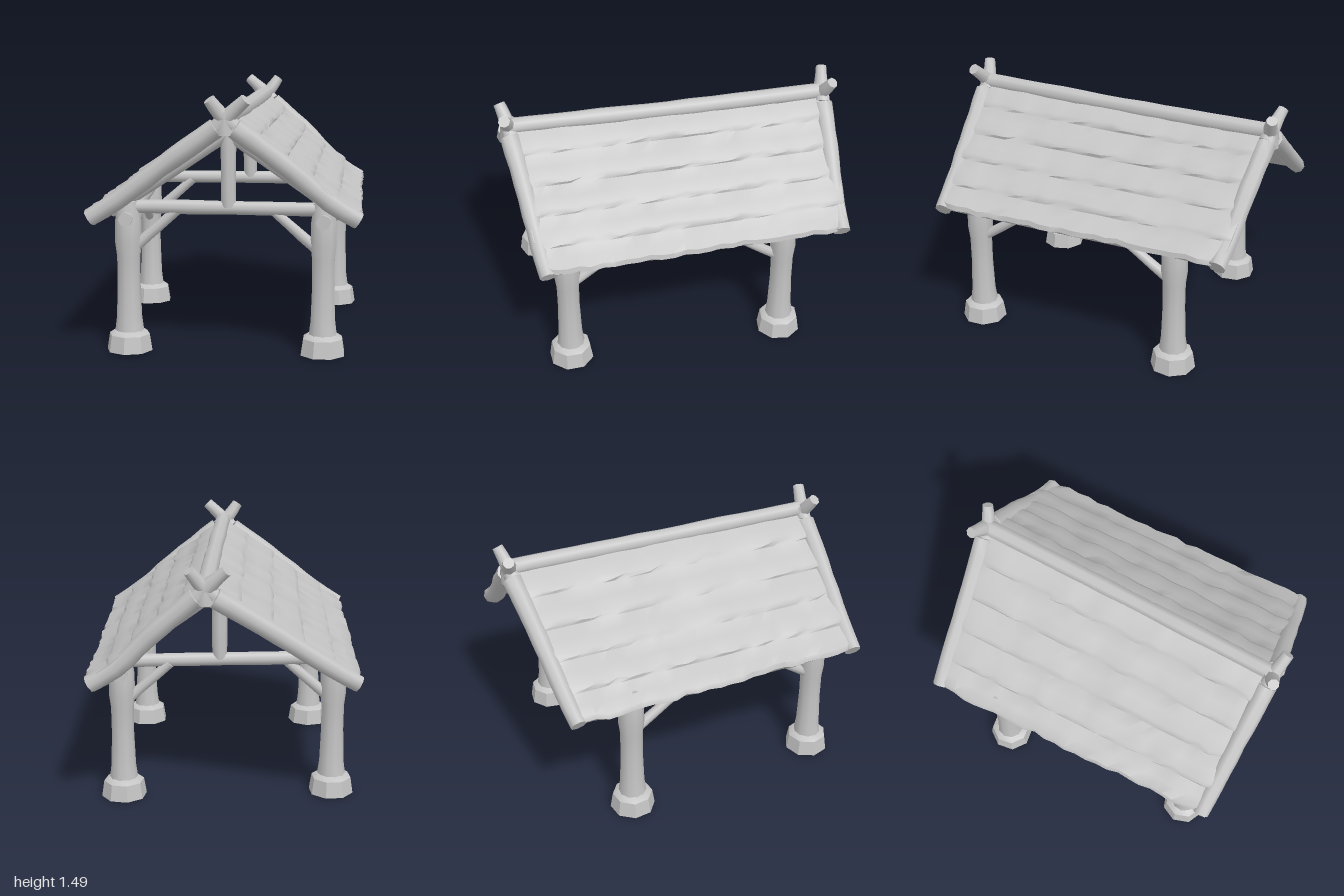
import * as THREE from 'three';
import { toCreasedNormals } from 'three/addons/utils/BufferGeometryUtils.js';

const V = (x, y, z) => new THREE.Vector3(x, y, z);
const lerp = THREE.MathUtils.lerp;

export function createModel() {
  const model = new THREE.Group();
  model.name = 'openShelter';
  const wood = new THREE.MeshStandardMaterial({ color: 0xc4c4c4 });
  wood.name = 'pale grey';

  let seed = 7;
  const rand = () => {
    seed = (seed * 16807) % 2147483647;
    return (seed / 2147483647) * 2 - 1;
  };

  // Closed skin over a row of rings, with a fan cap at each end
  function loft(name, rings, crease, parent = model) {
    const n = rings[0].length, pts = rings.flat(), idx = [];
    for (let i = 0; i < rings.length - 1; i++) {
      for (let j = 0; j < n; j++) {
        const k = (j + 1) % n, a = i * n, b = a + n;
        idx.push(a + j, a + k, b + j, a + k, b + k, b + j);
      }
    }
    [0, rings.length - 1].forEach((r, end) => {
      const c = V(0, 0, 0);
      rings[r].forEach((p) => c.addScaledVector(p, 1 / n));
      const ci = pts.push(c) - 1;
      for (let j = 0; j < n; j++) {
        const a = r * n + j, b = r * n + ((j + 1) % n);
        if (end) idx.push(ci, a, b);
        else idx.push(ci, b, a);
      }
    });
    const geo = new THREE.BufferGeometry().setFromPoints(pts);
    geo.setIndex(idx);
    const mesh = new THREE.Mesh(toCreasedNormals(geo, crease), wood);
    mesh.name = name;
    parent.add(mesh);
    return mesh;
  }

  // Rough round timber along a few points, tapering from r0 to r1
  function log(name, path, r0, r1 = r0, steps = 6, parent = model) {
    const curve = new THREE.CatmullRomCurve3(path);
    const f = curve.computeFrenetFrames(steps, false);
    const rings = [];
    for (let i = 0; i <= steps; i++) {
      const c = curve.getPointAt(i / steps);
      const r = lerp(r0, r1, i / steps) * (1 + 0.05 * rand());
      rings.push(Array.from({ length: 8 }, (_, j) => {
        const a = (j / 8) * Math.PI * 2;
        return c.clone().addScaledVector(f.normals[i], Math.cos(a) * r)
          .addScaledVector(f.binormals[i], Math.sin(a) * r);
      }));
    }
    return loft(name, rings, 0.9, parent);
  }

  // Posts standing on flared stone feet
  const feet = {
    frontLeft: [0.55, 0.725], frontRight: [-0.555, 0.73],
    backLeft: [0.595, -0.57], backRight: [-0.63, -0.5],
  };
  const footProfile = [[0, 0], [0.133, 0.005], [0.118, 0.1], [0.085, 0.122], [0, 0.13]];
  const postProfile = [[0.085, 0.1], [0.072, 0.2], [0.065, 0.4], [0.066, 0.55],
    [0.076, 0.63], [0.074, 0.76], [0.06, 0.87], [0, 0.88]];
  const lathe = (name, profile, sides, x, z, turn) => {
    const geo = new THREE.LatheGeometry(profile.map((p) => new THREE.Vector2(...p)), sides);
    const mesh = new THREE.Mesh(toCreasedNormals(geo, 0.75), wood);
    mesh.name = name;
    mesh.position.set(x, 0, z);
    mesh.rotation.y = turn;
    model.add(mesh);
  };
  Object.entries(feet).forEach(([key, [x, z]], i) => {
    lathe(key + 'Foot', footProfile, 8, x, z, 0.4 + i * 0.3);
    lathe(key + 'Post', postProfile, 10, x, z, i * 0.5);
    // Diagonal braces toward the tie beam and the side plate
    const sx = Math.sign(x), sz = Math.sign(z);
    log(key + 'CrossBrace', [V(x - sx * 0.03, 0.6, z), V(x - sx * 0.28, 0.82, z)], 0.032, 0.028, 3);
    log(key + 'SideBrace', [V(x, 0.57, z - sz * 0.03), V(x, 0.765, z - sz * 0.32)], 0.03, 0.027, 3);
  });

  // Side plates running front to back
  for (const side of ['Left', 'Right']) {
    const [fx, fz] = feet['front' + side], [bx, bz] = feet['back' + side];
    log('sidePlate' + side, [V(bx, 0.775, bz - 0.1), V(fx, 0.775, fz + 0.1)], 0.04);
  }

  const ridgeX = (z) => 0.065 - 0.037 * z;

  // Trusses: tie beam, king post and inner rafters
  for (const end of ['front', 'back']) {
    const [lx, lz] = feet[end + 'Left'], [rx, rz] = feet[end + 'Right'];
    const z = (lz + rz) / 2, kx = end === 'front' ? 0.015 : 0.03;
    log(end + 'TieBeam', [V(rx - 0.06, 0.838, rz), V(kx, 0.836, z), V(lx + 0.06, 0.832, lz)], 0.04);
    log(end + 'KingPost', [V(kx, 0.84, z), V(kx, 1.26, z)], 0.042, 0.045, 4);
    for (const s of [-1, 1]) {
      log(end + 'InnerRafter', [V(s * 0.66, 0.81, s > 0 ? lz : rz), V(kx, 1.26, z)], 0.042);
    }
  }
  for (const z of [-0.15, 0.3]) {
    for (const s of [-1, 1]) {
      log('middleRafter', [V(s * 0.68, 0.82, z), V(ridgeX(z), 1.29, z)], 0.035);
    }
  }

  // Roof slopes: lapped uneven courses over a flat underside
  const laps = [0, 0.2, 0.41, 0.61, 0.81, 1];
  const halfDepth = (u, s, t) => (t > 0
    ? lerp(0.965, s > 0 ? 0.89 : 0.92, u)
    : lerp(0.965, s > 0 ? 0.905 : 0.89, u));
  function roofSlope(name, s) {
    const rings = [], rows = 26;
    for (let i = 0; i <= rows; i++) {
      const t = (i / rows) * 2 - 1;
      const atEnd = i === 0 || i === rows;
      const at = (u, lift) => {
        const z = t * halfDepth(u, s, t);
        const ridge = V(ridgeX(z), 1.365, z), eave = V(s * 0.765, 0.815, z);
        const d = eave.clone().sub(ridge).normalize();
        const n = V(-s * d.y, s * d.x, 0);
        return ridge.lerp(eave, u).addScaledVector(n, lift);
      };
      const ring = [at(0, -0.045), at(0.5, -0.045), at(atEnd ? 0.95 : 0.985, -0.045)];
      for (let k = laps.length - 1; k > 0; k--) {
        const edge = laps[k] + 0.012 * rand() - (atEnd && k === 5 ? 0.04 : 0);
        const lift = atEnd ? 0 : 0.016 + 0.008 * rand();
        ring.push(at(edge, k === 5 ? lift - 0.02 : lift - 0.004));
        ring.push(at(edge - 0.025, lift));
        ring.push(at((edge + laps[k - 1]) / 2, lift * 0.55));
        ring.push(at(laps[k - 1] + 0.016, atEnd ? -0.004 : 0.003 * rand()));
      }
      rings.push(s > 0 ? ring : ring.reverse());
    }
    loft(name, rings, 0.8);
  }
  roofSlope('roofLeft', 1);
  roofSlope('roofRight', -1);

  // Ridge pole
  log('ridgePole', [V(ridgeX(-0.95), 1.362, -0.95), V(0.07, 1.357, 0), V(ridgeX(0.95), 1.362, 0.95)],
    0.05, 0.05, 14);

  // Gable poles crossing at the ridge and ending in horns
  for (const [end, e] of [['front', 1], ['back', -1]]) {
    const cx = ridgeX(e * 0.95) - (e > 0 ? 0.01 : 0);
    for (const s of [-1, 1]) {
      const zEave = e * (halfDepth(1, s, e) - 0.03);
      const z = (u) => lerp(e * 0.935, zEave, u);
      log(end + (s > 0 ? 'LeftGablePole' : 'RightGablePole'), [
        V(s * 0.745, 0.795, zEave), V(s * 0.6, 0.885, z(0.8)),
        V(lerp(cx, s * 0.745, 0.45), 1.095, z(0.45)), V(cx + s * 0.05, 1.305, z(0)),
      ], 0.05, 0.058, 9);
      log(end + 'Horn', [V(cx + s * 0.04, 1.31, e * 0.93), V(cx - s * 0.03, 1.385, e * 0.945),
        V(cx - s * (e * s < 0 ? 0.115 : 0.085), 1.462, e * 0.97)], 0.05, 0.034, 4);
    }
    log(end + 'RidgeKnot', [V(cx, 1.27, e * 0.93), V(cx, 1.395, e * 0.935)], 0.058, 0.045, 3);
  }

  return model;
}
